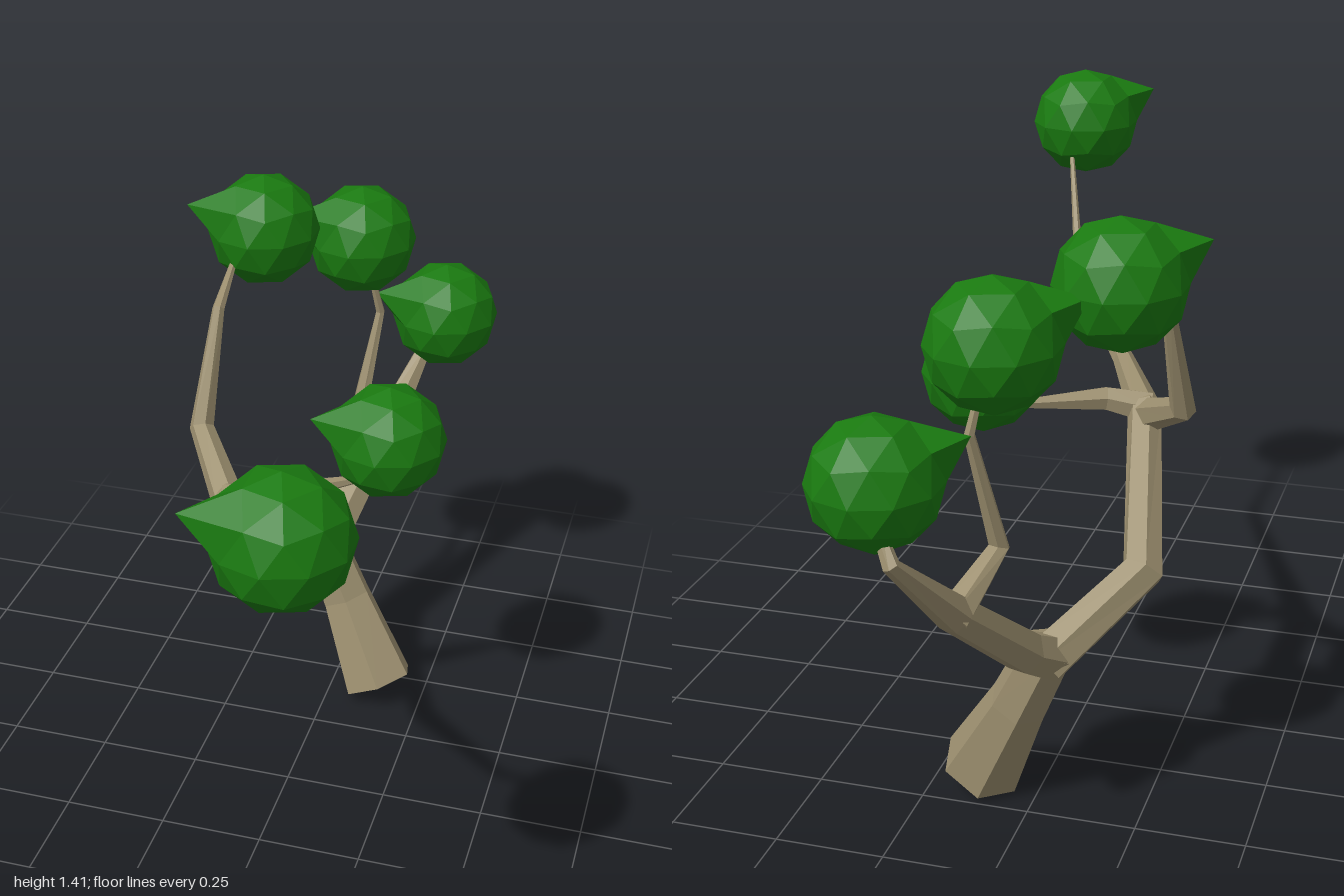
import * as THREE from 'three';

const bark = new THREE.MeshStandardMaterial({ color: 0x9c8f6f, flatShading: true });
const leaf = new THREE.MeshStandardMaterial({ color: 0x1a7a10, flatShading: true });
const SIDES = 6;

// Faceted tapering limb through nodes [x, y, z, radius], mitred at the bends
function limb(name, nodes) {
  const pts = nodes.map(([x, y, z]) => new THREE.Vector3(x, y, z));
  const dirs = pts.slice(1).map((p, i) => p.clone().sub(pts[i]).normalize());
  const pos = [], idx = [];
  let u = new THREE.Vector3(1, 0, 0.3);
  pts.forEach((p, i) => {
    const a = dirs[Math.max(i - 1, 0)], b = dirs[Math.min(i, dirs.length - 1)];
    const t = a.clone().add(b).normalize();
    u = u.clone().addScaledVector(t, -u.dot(t)).normalize();
    const v = t.clone().cross(u);
    for (let k = 0; k < SIDES; k++) {
      const w = (k / SIDES) * Math.PI * 2, r = nodes[i][3];
      const q = p.clone().addScaledVector(u, Math.cos(w) * r).addScaledVector(v, Math.sin(w) * r);
      pos.push(q.x, q.y, q.z);
    }
  });
  for (let i = 0; i < pts.length - 1; i++) {
    for (let k = 0; k < SIDES; k++) {
      const a = i * SIDES + k, b = i * SIDES + (k + 1) % SIDES;
      idx.push(a, b, b + SIDES, a, b + SIDES, a + SIDES);
    }
  }
  const end = (pts.length - 1) * SIDES;
  for (let k = 1; k < SIDES - 1; k++) {
    idx.push(0, k + 1, k, end, end + k, end + k + 1);
  }
  const geo = new THREE.BufferGeometry();
  geo.setAttribute('position', new THREE.Float32BufferAttribute(pos, 3));
  geo.setIndex(idx);
  const flat = geo.toNonIndexed();
  flat.computeVertexNormals();
  const mesh = new THREE.Mesh(flat, bark);
  mesh.name = name;
  return mesh;
}

// Low-poly ball with one vertex drawn out into a point
function foliageGeometry(r) {
  const geo = new THREE.IcosahedronGeometry(r, 1);
  geo.rotateX(-Math.atan((1 + Math.sqrt(5)) / 2));
  geo.rotateY(Math.PI / 2);
  const corner = new THREE.Vector3(-0.7236, 0.4472, 0.5257).multiplyScalar(r);
  const p = geo.attributes.position, v = new THREE.Vector3();
  for (let i = 0; i < p.count; i++) {
    if (v.fromBufferAttribute(p, i).distanceTo(corner) < r * 0.1) p.setXYZ(i, -0.165, 0.078, 0.092);
  }
  geo.computeVertexNormals();
  return geo;
}

export function createModel() {
  const tree = new THREE.Group();
  tree.name = 'tree';

  // Shared nodes: trunk fork and the two branch forks
  const fork = [-0.05, 0.43, -0.49, 0.06];
  const frontFork = [-0.14, 0.81, 0, 0.04];
  const backFork = [0.055, 0.64, -0.78, 0.042];

  tree.add(
    limb('trunk', [[0.135, 0.055, -0.41, 0.097], [0.026, 0.27, -0.47, 0.068], fork]),
    // Front limb and its three twigs
    limb('frontBranch', [[-0.04, 0.39, -0.49, 0.055], [-0.22, 0.56, -0.33, 0.05], frontFork, [-0.02, 0.83, 0.27, 0.026],
      [0.17, 0.95, 0.545, 0.013], [0.25, 1.21, 0.76, 0.006]]),
    limb('rightTwig', [[-0.15, 0.8, -0.01, 0.04], [-0.27, 0.89, -0.18, 0.03],
      [-0.255, 1.16, -0.28, 0.015], [-0.265, 1.23, -0.46, 0.007]]),
    limb('innerTwig', [[-0.15, 0.81, 0.01, 0.04], [-0.05, 0.83, -0.01, 0.03], [0.14, 0.84, -0.13, 0.009]]),
    // Back limb and its side twig
    limb('backBranch', [[-0.05, 0.4, -0.48, 0.055], [-0.02, 0.45, -0.56, 0.05], backFork,
      [0.12, 0.815, -0.945, 0.018], [0.16, 0.88, -0.91, 0.012]]),
    limb('upperTwig', [[0.06, 0.63, -0.79, 0.04], [0.005, 0.735, -0.645, 0.024],
      [0.04, 1.0, -0.71, 0.012], [0.02, 1.1, -0.69, 0.008]]),
  );

  // Leaf clusters at the twig ends
  const geo = foliageGeometry(0.138);
  [[0.24, 1.282, 0.86], [0.195, 0.93, -0.17], [-0.215, 1.272, -0.523],
    [-0.015, 1.193, -0.715], [0.18, 0.945, -0.862]].forEach((c, i) => {
    const m = new THREE.Mesh(geo, leaf);
    m.position.set(...c);
    m.name = 'foliage' + (i + 1);
    tree.add(m);
  });
  return tree;
}
